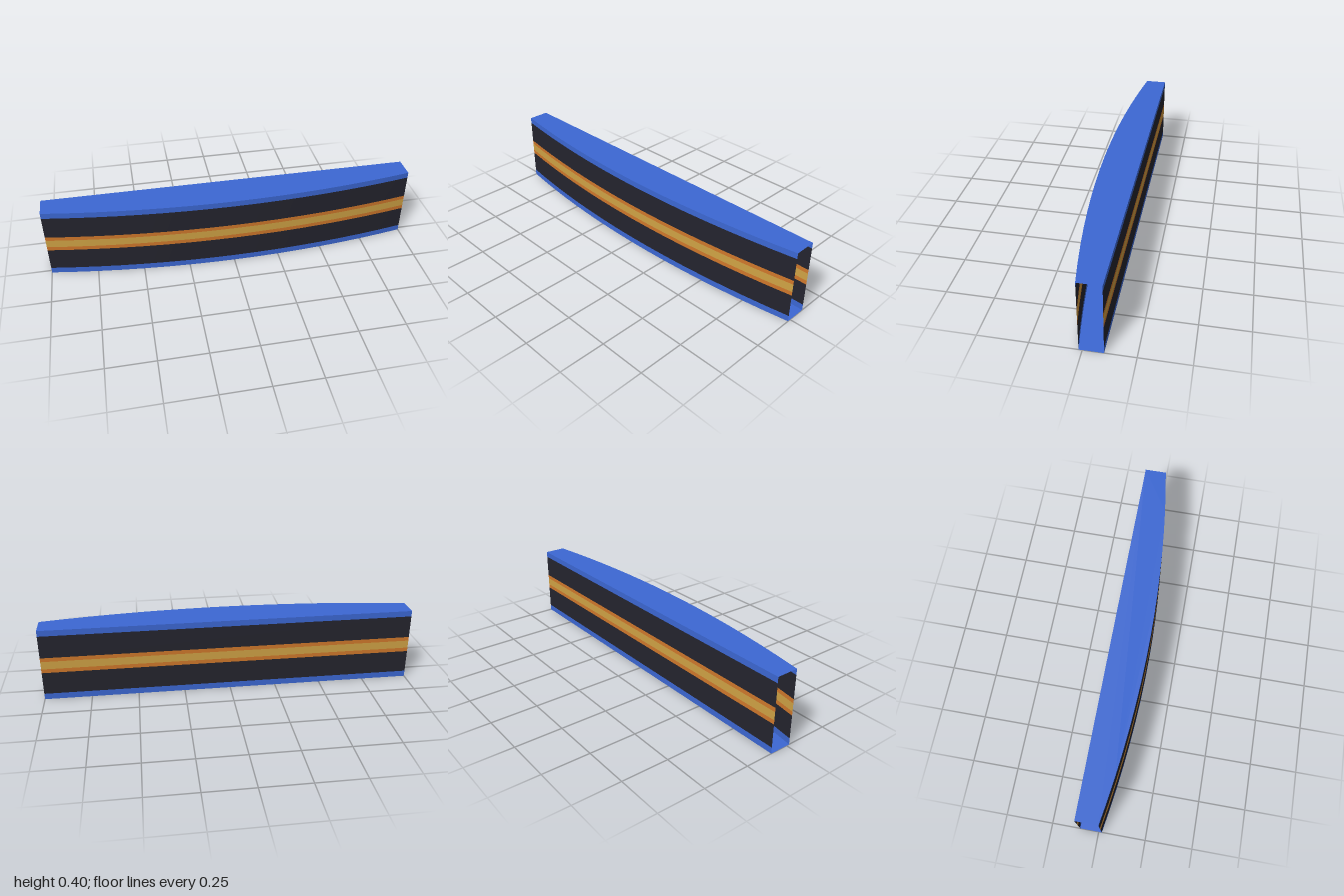
import * as THREE from 'three';

const HEIGHT = 0.4, BACK_Z = -0.1, SEGMENTS = 16;
const bowZ = (x) => 0.1 - 0.083 * x * x; // bowed front outline

const material = (name, color) =>
  new THREE.MeshStandardMaterial({ name, color, side: THREE.DoubleSide });

export function createModel() {
  const group = new THREE.Group();
  group.name = 'bowedStripedPanel';
  const blue = material('blue', 0x3c68d4);
  const black = material('black', 0x24242e);
  const orange = material('orange', 0xd0782b);
  const gold = material('gold', 0xd0a345);

  const add = (name, geometry, mat) => {
    const mesh = new THREE.Mesh(geometry, mat);
    mesh.name = name;
    group.add(mesh);
    return mesh;
  };

  // Horizontal stripes, from bottom to top: [name, bottom, top, colour]
  const stripes = [
    ['LowerEdge', 0, 0.033, blue],
    ['LowerBand', 0.033, 0.157, black],
    ['LowerTrim', 0.157, 0.179, orange],
    ['CentreStripe', 0.179, 0.222, gold],
    ['UpperTrim', 0.222, 0.244, orange],
    ['UpperBand', 0.244, 0.368, black],
    ['UpperEdge', 0.368, HEIGHT, blue],
  ];

  for (const [name, y0, y1, mat] of stripes) {
    // Curved front sheet
    const front = new THREE.PlaneGeometry(2, y1 - y0, SEGMENTS, 1);
    front.translate(0, (y0 + y1) / 2, 0);
    const pos = front.attributes.position;
    for (let i = 0; i < pos.count; i++) pos.setZ(i, bowZ(pos.getX(i)));
    front.computeVertexNormals();
    add('front' + name, front, mat);

    // Flat back sheet
    const back = new THREE.PlaneGeometry(2, y1 - y0);
    back.rotateY(Math.PI).translate(0, (y0 + y1) / 2, BACK_Z);
    add('back' + name, back, mat);
  }

  // Top and bottom plates; both ends stay open
  for (const side of [1, -1]) {
    const outline = [new THREE.Vector2(1, -side * BACK_Z), new THREE.Vector2(-1, -side * BACK_Z)];
    for (let i = 0; i <= SEGMENTS; i++) {
      const x = -1 + (2 * i) / SEGMENTS;
      outline.push(new THREE.Vector2(x, -side * bowZ(x)));
    }
    const plate = new THREE.ShapeGeometry(new THREE.Shape(outline));
    plate.rotateX((-side * Math.PI) / 2).translate(0, side > 0 ? HEIGHT : 0, 0);
    add(side > 0 ? 'topPlate' : 'bottomPlate', plate, blue);
  }

  return group;
}
